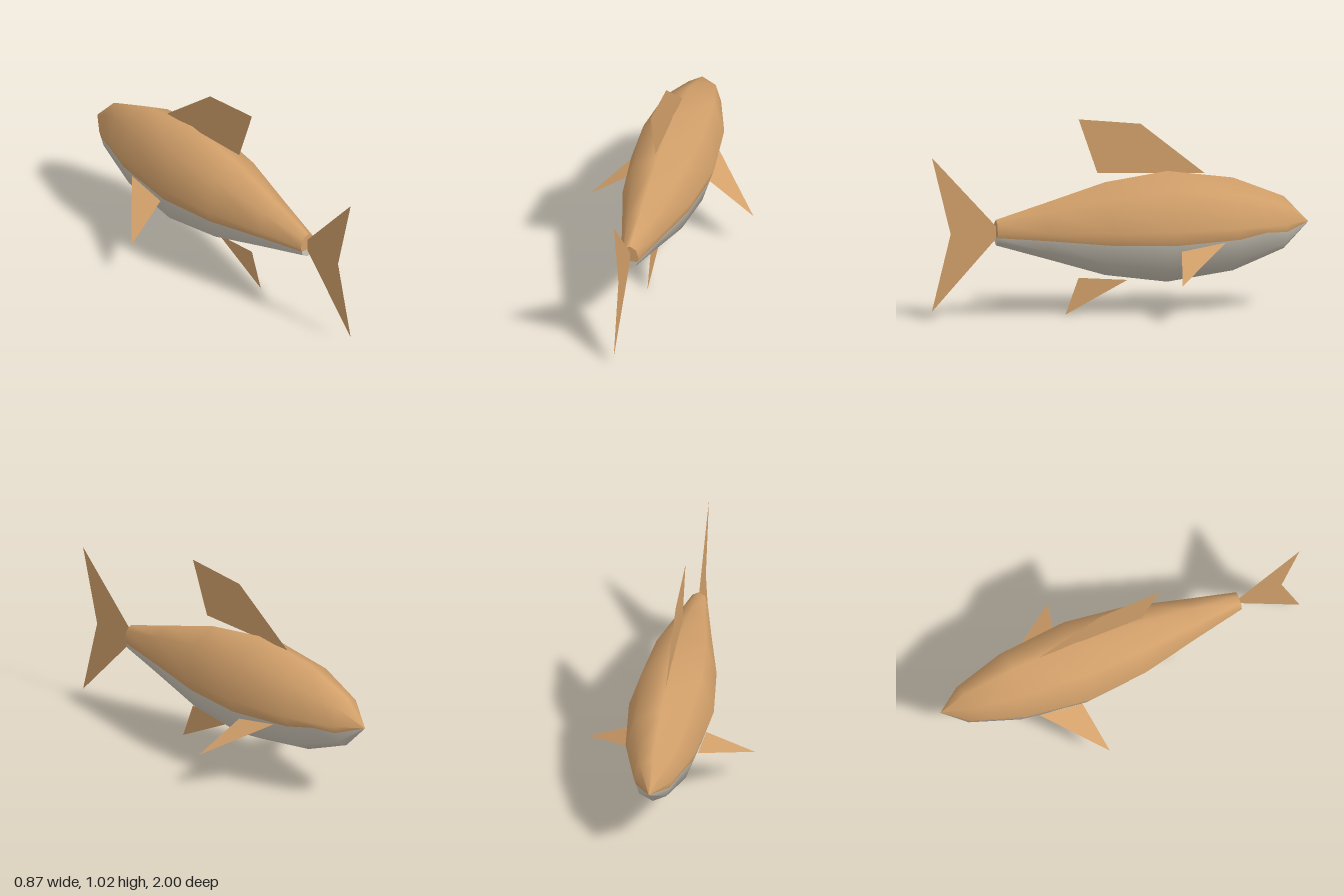
import * as THREE from 'three';

const MID = 0.443; // height of the body axis

function material(name, color, side) {
  const m = new THREE.MeshStandardMaterial({ color, side });
  m.name = name;
  return m;
}

// Body cross-sections: z, half width, half height, position of the colour border
// along the lower side facet (0 = widest point, 1 = lower corner)
const RINGS = [
  [-1.0, 0.001, 0.001, 0.4],
  [-0.87, 0.1, 0.136, 0.4],
  [-0.75, 0.138, 0.184, 0.25],
  [-0.6, 0.185, 0.243, 0.34],
  [-0.25, 0.222, 0.29, 0.36],
  [0.08, 0.185, 0.243, 0.38],
  [0.4, 0.107, 0.145, 0.39],
  [0.66, 0.047, 0.067, 0.49],
];

// Eight-sided ring with one extra point per side on the colour border
function ringPoints([z, rx, ry, t]) {
  const corner = (k) => {
    const a = (k * Math.PI) / 4;
    return new THREE.Vector3(Math.sin(a) * rx, MID + Math.cos(a) * ry, z);
  };
  const border = (side, low) => corner(side).lerp(corner(low), t);
  return [corner(0), corner(1), corner(2), border(2, 3), corner(3),
    corner(4), corner(5), border(6, 5), corner(6), corner(7)];
}

function bodyGeometry() {
  const n = 10;
  const rings = [...RINGS, RINGS[RINGS.length - 1]]; // last ring repeated for the end cap
  const points = rings.flatMap(ringPoints);
  const back = [], belly = [];
  for (let i = 0; i < RINGS.length - 1; i++) {
    for (let j = 0; j < n; j++) {
      const a = i * n + j, b = i * n + ((j + 1) % n);
      (j >= 3 && j <= 6 ? belly : back).push(a, a + n, b, b, a + n, b + n);
    }
  }
  // flat cap at the tail root
  const cap = (cols, list) => {
    const s = RINGS.length * n;
    for (let k = 1; k < cols.length - 1; k++) list.push(s + cols[0], s + cols[k + 1], s + cols[k]);
  };
  cap([7, 8, 9, 0, 1, 2, 3], back);
  cap([3, 4, 5, 6, 7], belly);

  const g = new THREE.BufferGeometry().setFromPoints(points);
  g.setIndex([...back, ...belly]);
  g.addGroup(0, back.length, 0);
  g.addGroup(back.length, belly.length, 1);
  g.computeVertexNormals();
  return g;
}

// Flat fin in the middle plane, outlined by [z, y] points
function middleFin(name, outline, mat) {
  const shape = new THREE.Shape(outline.map(([z, y]) => new THREE.Vector2(-z, y)));
  const g = new THREE.ShapeGeometry(shape).rotateY(Math.PI / 2);
  const mesh = new THREE.Mesh(g, mat);
  mesh.name = name;
  return mesh;
}

// Triangular side fin; s = 1 for left, -1 for right
function sideFin(name, s, mat) {
  const corners = [[0.18, 0.375, -0.52], [0.188, 0.337, -0.285], [0.435, 0.195, -0.23]];
  if (s < 0) corners.reverse();
  const g = new THREE.BufferGeometry().setFromPoints(
    corners.map(([x, y, z]) => new THREE.Vector3(s * x, y, z)));
  g.setIndex([0, 1, 2]);
  g.computeVertexNormals();
  const mesh = new THREE.Mesh(g, mat);
  mesh.name = name;
  return mesh;
}

export function createModel() {
  const model = new THREE.Group();
  model.name = 'fish';
  const tan = material('tan skin', 0xd2a06a, THREE.DoubleSide);
  const pale = material('pale belly', 0xcfc8ba, THREE.DoubleSide);

  const body = new THREE.Mesh(bodyGeometry(), [tan, pale]);
  body.name = 'body';
  model.add(body);

  model.add(
    middleFin('dorsalFin', [[0.12, 0.735], [-0.45, 0.715], [-0.11, 0.985], [0.22, 1.02]], tan),
    middleFin('tailFin', [[0.66, 0.41], [0.66, 0.477], [1, 0.847], [0.9, 0.443], [1, 0.04]], tan),
    middleFin('analFin', [[0.29, 0], [-0.04, 0.17], [0.22, 0.19]], tan),
    sideFin('leftPectoralFin', 1, tan),
    sideFin('rightPectoralFin', -1, tan),
  );
  return model;
}
